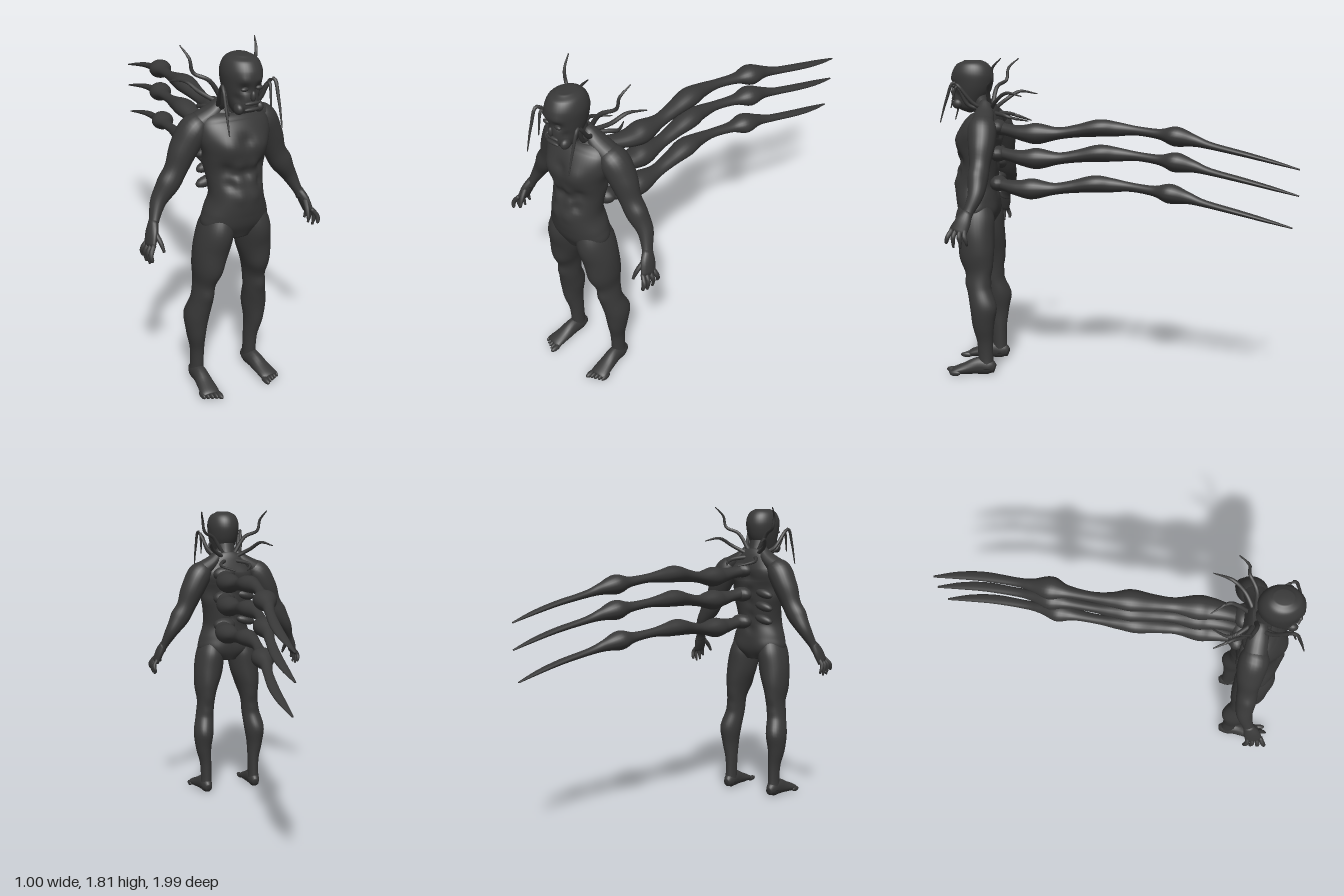
import * as THREE from 'three';

const skin = new THREE.MeshStandardMaterial({ color: 0x383838 });
skin.name = 'charcoal';

// Smooth closed skin through rows of [x, y, z, halfWidth, halfDepth].
// ref gives the direction of halfDepth; bumps are [x, y, z, radius, height].
function loft(name, rows, { ref = [0, 0, 1], seg = 20, steps = 4, bumps = [] } = {}) {
  const curve = new THREE.CatmullRomCurve3(rows.map(r => new THREE.Vector3(r[0], r[1], r[2])));
  const sizes = new THREE.CatmullRomCurve3(rows.map(r => new THREE.Vector3(r[3], r[4], 0)));
  sizes.curveType = curve.curveType = 'catmullrom';
  const n = (rows.length - 1) * steps, pos = [], idx = [];
  const up = new THREE.Vector3(...ref), p = new THREE.Vector3(), out = new THREE.Vector3(), b = new THREE.Vector3();
  for (let i = -1; i <= n + 1; i++) {
    const t = THREE.MathUtils.clamp(i / n, 0, 1);
    const c = curve.getPoint(t), s = sizes.getPoint(t), d = curve.getTangent(t);
    const v = up.clone().addScaledVector(d, -up.dot(d)).normalize();
    const u = v.clone().cross(d);
    const k = i < 0 || i > n ? 0 : 1;
    for (let j = 0; j < seg; j++) {
      const a = j / seg * Math.PI * 2;
      out.set(0, 0, 0).addScaledVector(u, Math.cos(a) * s.x * k).addScaledVector(v, Math.sin(a) * s.y * k);
      p.copy(c).add(out);
      if (k) {
        let h = 0;
        for (const q of bumps) h += q[4] * Math.exp(-p.distanceToSquared(b.set(q[0], q[1], q[2])) / (q[3] * q[3]));
        p.addScaledVector(out.normalize(), h);
      }
      pos.push(p.x, p.y, p.z);
    }
  }
  for (let i = 0; i < n + 2; i++) for (let j = 0; j < seg; j++) {
    const a = i * seg + j, e = i * seg + (j + 1) % seg;
    idx.push(a, e, a + seg, e, e + seg, a + seg);
  }
  const g = new THREE.BufferGeometry();
  g.setAttribute('position', new THREE.Float32BufferAttribute(pos, 3));
  g.setIndex(idx);
  g.computeVertexNormals();
  const m = new THREE.Mesh(g, skin);
  m.name = name;
  return m;
}

function blob(name, p, s, rot = [0, 0, 0]) {
  const m = new THREE.Mesh(new THREE.SphereGeometry(1, 18, 12), skin);
  m.name = name;
  m.position.set(...p);
  m.scale.set(...s);
  m.rotation.set(...rot);
  return m;
}

// Mirrors the x of rows or bumps
const flip = (rows, s) => rows.map(r => [r[0] * s, ...r.slice(1)]);
const both = rows => [...rows, ...flip(rows, -1)];

export function createModel() {
  const model = new THREE.Group();
  model.name = 'figure';
  const add = (...m) => model.add(...m);

  // Torso with chest, belly, spine and shoulder-blade relief
  add(loft('torso', [
    [0, 0.865, 0.82, 0.09, 0.08], [0, 0.93, 0.82, 0.178, 0.108], [0, 1.0, 0.825, 0.172, 0.12],
    [0, 1.09, 0.83, 0.142, 0.122], [0, 1.2, 0.81, 0.152, 0.108], [0, 1.3, 0.81, 0.168, 0.118],
    [0, 1.38, 0.8, 0.19, 0.115], [0, 1.45, 0.775, 0.185, 0.095], [0, 1.5, 0.765, 0.14, 0.068],
    [0, 1.54, 0.775, 0.075, 0.055]
  ], {
    seg: 56, steps: 8,
    bumps: [
      ...both([[0.08, 1.35, 0.92, 0.06, 0.02], [0.1, 1.4, 0.69, 0.055, 0.018], [0.15, 1.25, 0.74, 0.05, 0.015],
        [0.08, 0.93, 0.71, 0.06, 0.014], [0.1, 1.24, 0.9, 0.03, -0.014], [0.08, 1.16, 0.91, 0.025, -0.012],
        [0.04, 1.1, 0.95, 0.03, 0.008], [0.04, 1.18, 0.92, 0.03, 0.01], [0.04, 1.26, 0.92, 0.025, 0.008]]),
      ...[1.06, 1.14, 1.22, 1.3, 1.38].map(y => [0, y, 0.7, 0.03, -0.012]),
      [0, 1.38, 0.92, 0.03, -0.014], [0, 1.22, 0.93, 0.025, -0.01]
    ]
  }));
  add(loft('neck', [[0, 1.46, 0.765, 0.07, 0.06], [0, 1.54, 0.79, 0.058, 0.055], [0, 1.64, 0.82, 0.06, 0.06]]));

  // Head
  add(loft('head', [
    [0, 1.515, 0.9, 0.04, 0.045], [0, 1.54, 0.89, 0.062, 0.072], [0, 1.6, 0.865, 0.08, 0.095],
    [0, 1.66, 0.848, 0.092, 0.115], [0, 1.72, 0.842, 0.096, 0.118], [0, 1.77, 0.84, 0.078, 0.093],
    [0, 1.794, 0.84, 0.04, 0.05]
  ], {
    seg: 40, steps: 6,
    bumps: [...both([[0.042, 1.65, 0.95, 0.024, -0.018], [0.04, 1.685, 0.95, 0.025, 0.008], [0.06, 1.6, 0.92, 0.02, -0.01]]),
      [0, 1.57, 0.955, 0.02, -0.01]]
  }));
  add(blob('nose', [0, 1.615, 0.958], [0.013, 0.026, 0.014]));
  for (const y of [1.55, 1.58]) add(blob('lip', [0, y, 0.953], [0.042, 0.01, 0.012]));

  for (const s of [1, -1]) {
    const part = (name, rows, o = {}) => add(loft(name, flip(rows, s), { ...o, bumps: flip(o.bumps || [], s) }));
    const spot = (name, p, r) => add(blob(name, [p[0] * s, p[1], p[2]], r));

    spot('eye', [0.04, 1.65, 0.945], [0.02, 0.011, 0.012]);
    spot('jawPad', [0.055, 1.55, 0.92], [0.022, 0.028, 0.03]);
    // Trapezius slope
    part('trapezius', [[0.04, 1.56, 0.765, 0.025, 0.03], [0.1, 1.495, 0.755, 0.04, 0.055], [0.18, 1.44, 0.745, 0.055, 0.065]]);

    // Arm
    part('arm', [
      [0.13, 1.45, 0.76, 0.035, 0.05], [0.185, 1.425, 0.745, 0.072, 0.078], [0.235, 1.34, 0.735, 0.072, 0.075],
      [0.283, 1.23, 0.735, 0.058, 0.057], [0.325, 1.155, 0.735, 0.056, 0.055], [0.38, 1.075, 0.735, 0.04, 0.044],
      [0.42, 0.99, 0.765, 0.024, 0.03], [0.435, 0.955, 0.78, 0.024, 0.035]
    ], { seg: 24, steps: 6, bumps: [[0.29, 1.31, 0.74, 0.04, 0.006], [0.36, 1.18, 0.74, 0.04, 0.007]] });

    // Hand
    part('palm', [[0.425, 0.99, 0.768, 0.022, 0.028], [0.445, 0.94, 0.79, 0.024, 0.045], [0.465, 0.88, 0.81, 0.018, 0.046]]);
    [[0.845, 0.872, 0.83], [0.823, 0.835, 0.803], [0.8, 0.797, 0.8], [0.776, 0.762, 0.815]].forEach(([z0, z1, y]) =>
      part('finger', [[0.46, 0.9, z0, 0.011, 0.012], [0.485, 0.865, (z0 + z1) / 2 + 0.004, 0.012, 0.013],
        [0.485, 0.835, z1, 0.01, 0.01], [0.478, y, z1, 0.006, 0.006]], { seg: 10 }));
    part('thumb', [[0.44, 0.955, 0.805, 0.014, 0.016], [0.428, 0.91, 0.85, 0.012, 0.013], [0.42, 0.865, 0.875, 0.007, 0.007]], { seg: 10 });

    // Leg
    part('leg', [
      [0.085, 0.99, 0.82, 0.07, 0.09], [0.105, 0.9, 0.82, 0.087, 0.112], [0.122, 0.8, 0.81, 0.09, 0.104],
      [0.14, 0.7, 0.803, 0.074, 0.098], [0.148, 0.6, 0.79, 0.054, 0.078], [0.158, 0.5, 0.788, 0.056, 0.068],
      [0.173, 0.4, 0.765, 0.062, 0.074], [0.175, 0.3, 0.765, 0.049, 0.063], [0.165, 0.2, 0.76, 0.036, 0.046],
      [0.163, 0.1, 0.758, 0.033, 0.043], [0.165, 0.035, 0.755, 0.036, 0.045]
    ], {
      seg: 32, steps: 6,
      bumps: [[0.11, 0.68, 0.88, 0.05, 0.008], [0.155, 0.54, 0.86, 0.035, 0.01], [0.15, 0.58, 0.72, 0.03, -0.008], [0.19, 0.4, 0.7, 0.04, 0.008]]
    });

    // Foot and toes
    part('foot', [
      [0.162, 0.035, 0.705, 0.02, 0.024], [0.164, 0.047, 0.74, 0.035, 0.046], [0.167, 0.052, 0.8, 0.038, 0.05],
      [0.173, 0.036, 0.87, 0.045, 0.035], [0.18, 0.024, 0.93, 0.05, 0.023], [0.182, 0.018, 0.95, 0.042, 0.015]
    ], { ref: [0, 1, 0] });
    for (let i = 0; i < 5; i++)
      spot('toe', [0.143 + i * 0.02, 0.016, 0.962 - i * 0.009], [i ? 0.011 : 0.015, 0.016, i ? 0.032 : 0.037]);

    // Jointed feelers around the head and neck
    const feelers = [
      [[0.03, 1.53, 0.74], [0.1, 1.64, 0.73], [0.17, 1.68, 0.69], [0.187, 1.75, 0.68], [0.21, 1.805, 0.625]],
      [[0.04, 1.52, 0.73], [0.12, 1.57, 0.68], [0.165, 1.615, 0.61], [0.205, 1.6, 0.515]],
      [[0.03, 1.5, 0.72], [0.08, 1.49, 0.65], [0.09, 1.475, 0.6], [0.04, 1.455, 0.515]],
      [[0.06, 1.52, 0.75], [0.105, 1.56, 0.82], [0.14, 1.67, 0.91], [0.145, 1.58, 0.955], [0.145, 1.45, 0.995]],
      [[0.06, 1.52, 0.77], [0.1, 1.55, 0.85], [0.125, 1.65, 0.9], [0.115, 1.53, 0.94]]
    ];
    for (const f of feelers)
      part('feeler', f.map((p, i) => {
        const r = i === f.length - 1 ? 0.003 : 0.013 - 0.0018 * i;
        return [...p, r, r];
      }), { ref: [0.3, 0.2, 0.93], seg: 8, steps: 5 });
  }

  // Three long segmented limbs from the left of the back
  const limb = [
    [0.03, 1.42, 0.72, 0.035, 0.04], [0.07, 1.405, 0.62, 0.045, 0.034], [0.095, 1.392, 0.53, 0.06, 0.046],
    [0.102, 1.39, 0.45, 0.067, 0.059], [0.108, 1.393, 0.33, 0.042, 0.034], [0.11, 1.408, 0.22, 0.047, 0.036],
    [0.113, 1.425, 0.1, 0.06, 0.048], [0.115, 1.42, 0, 0.04, 0.04], [0.13, 1.413, -0.11, 0.028, 0.026],
    [0.16, 1.398, -0.24, 0.036, 0.029], [0.183, 1.388, -0.33, 0.064, 0.054], [0.205, 1.368, -0.43, 0.034, 0.033],
    [0.23, 1.344, -0.52, 0.026, 0.02], [0.272, 1.305, -0.7, 0.028, 0.015], [0.29, 1.268, -0.85, 0.022, 0.011],
    [0.295, 1.23, -0.99, 0.006, 0.004]
  ];
  for (const [dy, dz] of [[0, 0], [-0.14, 0], [-0.312, 0.03]])
    add(loft('backLimb', limb.map(([x, y, z, a, b]) => [x, y + dy, z + dz, a, b]), { ref: [0, 1, 0], seg: 24, steps: 6 }));

  // Swollen ridges on the back beside the limb roots
  for (const y of [1.12, 1.2, 1.28]) add(blob('backRidge', [-0.1, y, 0.715], [0.062, 0.028, 0.03], [0, 0, 0.25]));
  for (const y of [1.1, 1.27, 1.42]) add(blob('limbRoot', [0.05, y, 0.69], [0.07, 0.045, 0.05]));

  return model;
}
